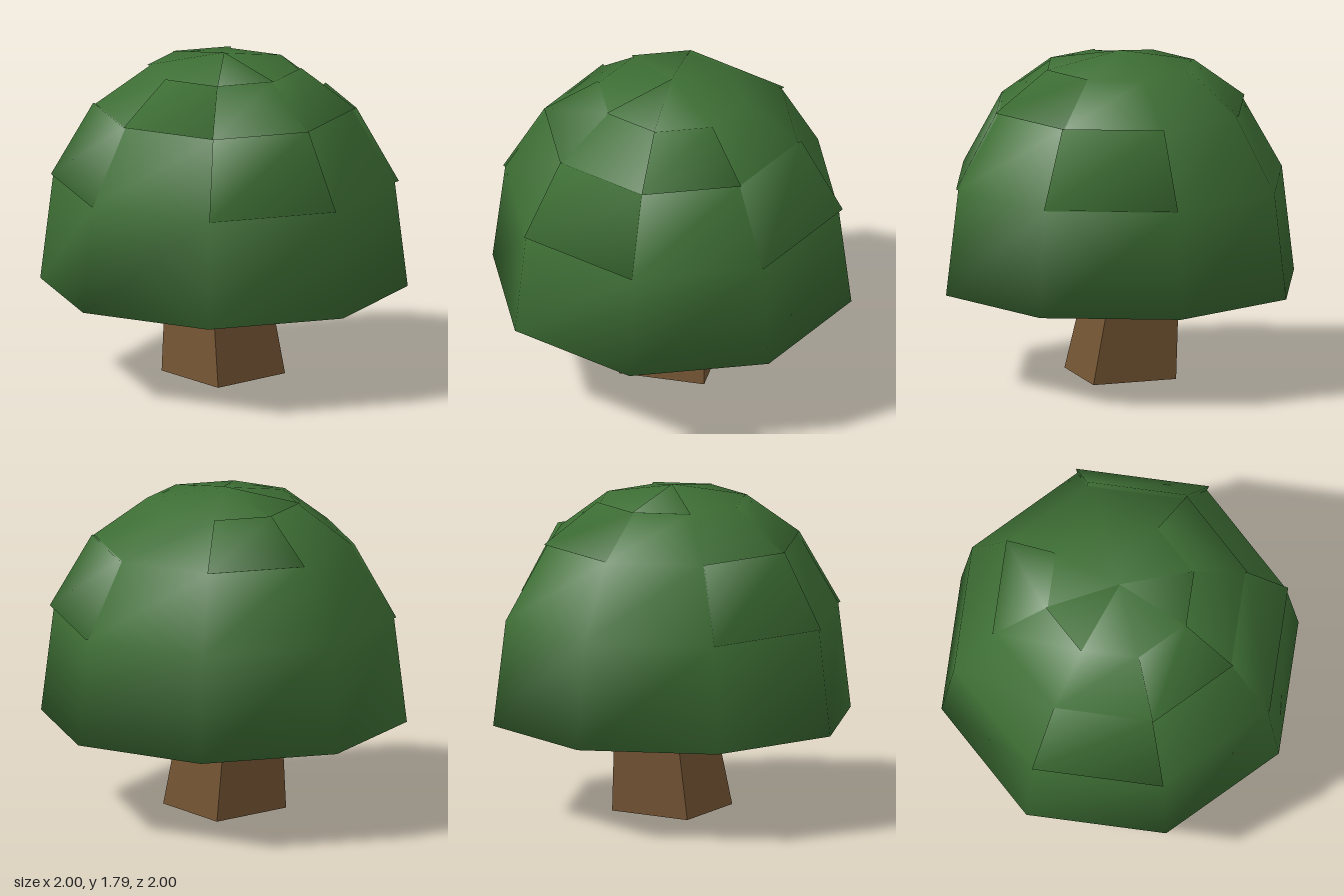
import * as THREE from 'three';

const SIDES = 8;
// canopy profile: [radius, height]
const RINGS = [[1.0, 0.505], [0.93, 1.085], [0.7, 1.49], [0.405, 1.71], [0, 1.79]];

const ringPoint = (ring, side, grow = 0) => {
  const a = side * Math.PI * 2 / SIDES;
  const [r, y] = RINGS[ring];
  const rr = r + (r > 0 ? grow : 0);
  return new THREE.Vector3(Math.sin(a) * rr, y + grow * 0.4, Math.cos(a) * rr);
};

function meshData(points, index) {
  const geo = new THREE.BufferGeometry();
  geo.setAttribute('position', new THREE.Float32BufferAttribute(points.flatMap(p => p.toArray()), 3));
  geo.setIndex(index);
  geo.computeVertexNormals();
  return geo;
}

// smooth eight-sided dome, closed underneath
function domeGeometry() {
  const points = [], index = [];
  const last = RINGS.length - 1;
  for (let r = 0; r < last; r++)
    for (let s = 0; s < SIDES; s++) points.push(ringPoint(r, s));
  points.push(ringPoint(last, 0));
  const apex = points.length - 1;
  for (let r = 0; r < last; r++) {
    for (let s = 0; s < SIDES; s++) {
      const a = r * SIDES + s, b = r * SIDES + (s + 1) % SIDES;
      if (r === last - 1) index.push(a, b, apex);
      else index.push(a, b, b + SIDES, a, b + SIDES, a + SIDES);
    }
  }
  for (let s = 1; s < SIDES - 1; s++) index.push(0, s + 1, s);
  return meshData(points, index);
}

// slightly raised leaf panel covering one cell of the dome, with a skirt
function panelGeometry(ring, side, lift) {
  const cells = [[ring, side], [ring, side + 1], [ring + 1, side + 1], [ring + 1, side]];
  const outer = cells.map(([r, s]) => ringPoint(r, s, lift));
  const inner = cells.map(([r, s]) => ringPoint(r, s, -0.01));
  const index = [0, 1, 2, 0, 2, 3];
  for (let i = 0; i < 4; i++) {
    const j = (i + 1) % 4;
    index.push(i, i + 4, j + 4, i, j + 4, j);
  }
  const geo = meshData([...outer, ...inner], index);
  // normals fan out from a point behind the panel for a pillowy look
  const centre = outer.reduce((sum, p) => sum.add(p), new THREE.Vector3()).multiplyScalar(0.25);
  const out = outer[1].clone().sub(outer[0]).cross(outer[3].clone().sub(outer[0]));
  if (out.lengthSq() < 1e-8) out.copy(outer[2]).sub(outer[1]).cross(outer[0].clone().sub(outer[1]));
  const behind = centre.addScaledVector(out.normalize(), -0.4);
  [...outer, ...outer].forEach((p, i) => {
    const n = p.clone().sub(behind).normalize();
    geo.attributes.normal.setXYZ(i, n.x, n.y, n.z);
  });
  return geo;
}

// bent square trunk from cross-sections: [y, xMin, xMax, zMin, zMax]
function trunkGeometry() {
  const sections = [
    [0, -0.24, 0.235, -0.235, 0.24],
    [0.4, -0.262, 0.15, -0.21, 0.2],
    [0.6, -0.22, 0.16, -0.2, 0.19],
  ];
  const points = [], index = [];
  for (const [y, x0, x1, z0, z1] of sections)
    points.push(new THREE.Vector3(x0, y, z1), new THREE.Vector3(x1, y, z1),
      new THREE.Vector3(x1, y, z0), new THREE.Vector3(x0, y, z0));
  for (let k = 0; k < sections.length - 1; k++)
    for (let i = 0; i < 4; i++) {
      const a = k * 4 + i, b = k * 4 + (i + 1) % 4;
      index.push(a, b, b + 4, a, b + 4, a + 4);
    }
  index.push(0, 2, 1, 0, 3, 2, 8, 9, 10, 8, 10, 11);
  const geo = meshData(points, index).toNonIndexed();
  geo.computeVertexNormals();
  return geo;
}

export function createModel() {
  const leaf = new THREE.MeshStandardMaterial({ color: 0x3d6e34 });
  leaf.name = 'leafGreen';
  const bark = new THREE.MeshStandardMaterial({ color: 0x735433 });
  bark.name = 'barkBrown';

  const model = new THREE.Group();
  model.name = 'tree';
  const add = (name, geo, mat) => {
    const mesh = new THREE.Mesh(geo, mat);
    mesh.name = name;
    model.add(mesh);
  };

  add('trunk', trunkGeometry(), bark);
  add('canopy', domeGeometry(), leaf);

  // raised panels: [ring, side, lift]
  const panels = [
    [1, 7, 0.012], [1, 1, 0.012], [1, 3, 0.022],
    [2, 0, 0.012], [2, 2, 0.015], [2, 5, 0.015],
    [3, 1, 0.012], [3, 6, 0.012],
  ];
  panels.forEach(([ring, side, lift]) => add('leafPanel', panelGeometry(ring, side, lift), leaf));
  return model;
}
